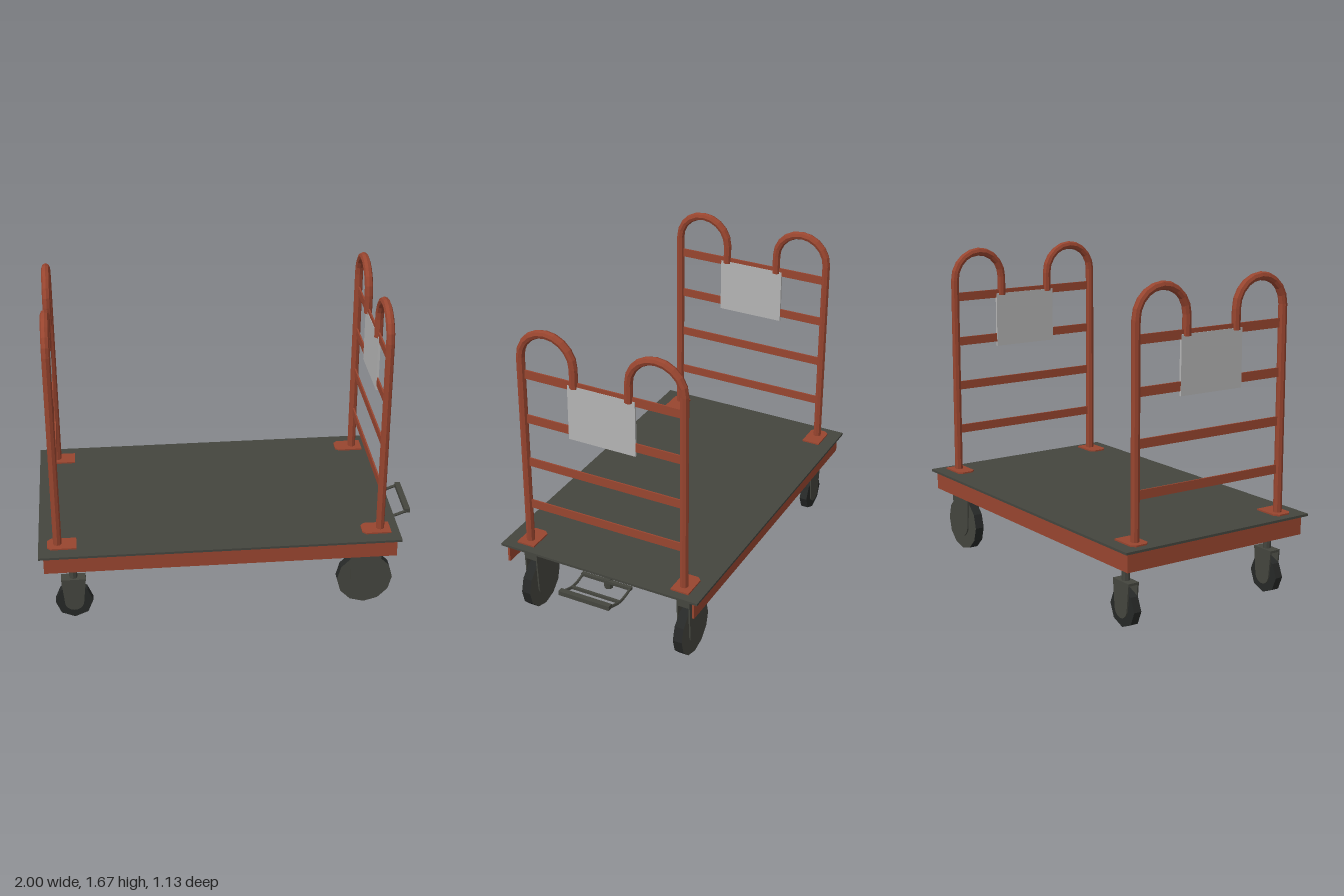
import * as THREE from 'three';

const material = (name, color) => {
  const m = new THREE.MeshStandardMaterial({ color });
  m.name = name;
  return m;
};

export function createModel() {
  const cart = new THREE.Group();
  cart.name = 'platformCart';
  const orange = material('orange paint', 0x98452f);
  const dark = material('dark grey', 0x44453e);
  const black = material('tyre black', 0x262827);
  const grey = material('sign grey', 0xb4b4b4);
  for (const m of [orange, dark, black, grey]) m.flatShading = true;

  const add = (name, geo, mat, x, y, z, parent = cart) => {
    const mesh = new THREE.Mesh(geo, mat);
    mesh.name = name;
    mesh.position.set(x, y, z);
    parent.add(mesh);
    return mesh;
  };
  const box = (name, mat, x, y, z, w, h, d, parent) =>
    add(name, new THREE.BoxGeometry(w, h, d), mat, x, y, z, parent);

  // Deck, skirts and underside ribs
  box('deck', dark, -0.065, 0.429, 0, 1.87, 0.012, 1.13);
  for (const s of [-1, 1]) box('sideSkirt', orange, -0.0625, 0.374, s * 0.534, 1.825, 0.098, 0.012);
  box('endSkirt', orange, -0.969, 0.374, 0, 0.012, 0.098, 1.056);
  box('crossBeam', dark, 0.61, 0.381, 0, 0.03, 0.084, 1.056);
  for (let i = 0; i < 4; i++) box('deckRib', dark, 0.27 - i * 0.345, 0.41, 0, 0.03, 0.028, 1.056);

  // Foot plate with clipped corners on one side
  const footShape = new THREE.Shape([
    [-0.075, -0.03], [-0.055, -0.05], [0.075, -0.05],
    [0.075, 0.05], [-0.055, 0.05], [-0.075, 0.03],
  ].map(([x, y]) => new THREE.Vector2(x, y)));
  const footGeo = new THREE.ExtrudeGeometry(footShape, { depth: 0.008, bevelEnabled: false });
  footGeo.rotateX(-Math.PI / 2);

  // End racks: two hooked posts, four rungs and a sign
  const tubeR = 0.022, arcR = 0.1475, arcY = 1.502;
  const arch = new THREE.TorusGeometry(arcR, tubeR, 8, 10, Math.PI);
  arch.rotateY(Math.PI / 2);
  const post = (h) => new THREE.CylinderGeometry(tubeR, tubeR, h, 8);
  for (const [x, footX] of [[-0.902, -0.88], [0.773, 0.75]]) {
    const rack = new THREE.Group();
    rack.name = 'endRack';
    cart.add(rack);
    for (const s of [-1, 1]) {
      add('post', post(arcY - 0.43), orange, x, (arcY + 0.43) / 2, s * 0.445, rack);
      add('arch', arch, orange, x, arcY, s * (0.445 - arcR), rack);
      add('hookEnd', post(arcY - 1.4), orange, x, (arcY + 1.4) / 2, s * (0.445 - 2 * arcR), rack);
      add('footPlate', footGeo, orange, footX, 0.435, s * 0.445, rack);
    }
    for (const y of [0.668, 0.915, 1.162, 1.409]) box('rung', orange, x, y, 0, 0.008, 0.046, 0.87, rack);
    box('signPlate', grey, x, 1.262, 0, 0.012, 0.296, 0.37, rack);
  }

  // Fork cheek: straight top narrowing to a rounded bottom around the axle
  const cheek = (topHalf, topY, r) => {
    const s = new THREE.Shape();
    s.moveTo(topHalf, topY);
    s.lineTo(-topHalf, topY);
    s.lineTo(-r, 0);
    s.absarc(0, 0, r, Math.PI, Math.PI * 2, false);
    s.closePath();
    const g = new THREE.ExtrudeGeometry(s, { depth: 0.008, bevelEnabled: false, curveSegments: 8 });
    g.translate(0, 0, -0.004);
    return g;
  };
  const wheel = (name, p) => {
    for (const s of [-1, 1]) {
      const g = new THREE.Group();
      g.name = name;
      g.position.set(p.x, p.r, s * 0.445);
      cart.add(g);
      const tyre = new THREE.CylinderGeometry(p.r, p.r, p.w, p.sides);
      tyre.rotateX(Math.PI / 2);
      add('wheel', tyre, [black, p.face, p.face], 0, 0, 0, g);
      for (const k of [-1, 1]) add('forkCheek', cheek(p.top, p.topY, p.cheekR), dark, 0, 0, k * p.gap, g);
      box('forkBridge', dark, 0, p.topY - 0.006, 0, p.top * 2, 0.012, p.gap * 2, g);
      const axle = new THREE.CylinderGeometry(0.014, 0.014, p.gap * 2 + 0.004, 8);
      axle.rotateX(Math.PI / 2);
      add('axle', axle, dark, 0, 0, 0, g);
      if (p.stem) add('swivelStem', new THREE.CylinderGeometry(0.021, 0.021, p.stem, 8), dark,
        0, p.topY + p.stem / 2, 0, g);
    }
  };
  wheel('fixedCaster', { x: 0.7, r: 0.147, w: 0.05, sides: 12, face: dark,
    top: 0.085, topY: 0.185, cheekR: 0.074, gap: 0.033 });
  box('casterMount', dark, 0.7, 0.378, 0.445, 0.17, 0.092, 0.074);
  box('casterMount', dark, 0.7, 0.378, -0.445, 0.17, 0.092, 0.074);
  wheel('swivelCaster', { x: -0.83, r: 0.098, w: 0.042, sides: 8, face: black,
    top: 0.064, topY: 0.137, cheekR: 0.05, gap: 0.027, stem: 0.19 });

  // Foot pedal: bent side arms joined by bars, with a pivot under the deck
  const pedal = new THREE.Group();
  pedal.name = 'brakePedal';
  cart.add(pedal);
  const bend = (pts, z) => new THREE.TubeGeometry(
    new THREE.CatmullRomCurve3(pts.map(([x, y]) => new THREE.Vector3(x, y, z))), 8, 0.008, 6);
  for (const s of [-1, 1])
    add('pedalArm', bend([[0.77, 0.322], [0.83, 0.309], [0.89, 0.312], [0.985, 0.345]], s * 0.138), dark, 0, 0, 0, pedal);
  box('treadBar', dark, 0.985, 0.347, 0, 0.03, 0.024, 0.29, pedal);
  box('innerBar', dark, 0.883, 0.311, 0, 0.014, 0.014, 0.28, pedal);
  box('pivotBar', dark, 0.77, 0.322, 0, 0.02, 0.016, 0.29, pedal);
  box('linkArm', dark, 0.69, 0.325, 0, 0.17, 0.014, 0.04, pedal);
  add('pivotKnob', new THREE.CylinderGeometry(0.024, 0.024, 0.05, 8), dark, 0.75, 0.3, 0, pedal);

  return cart;
}
